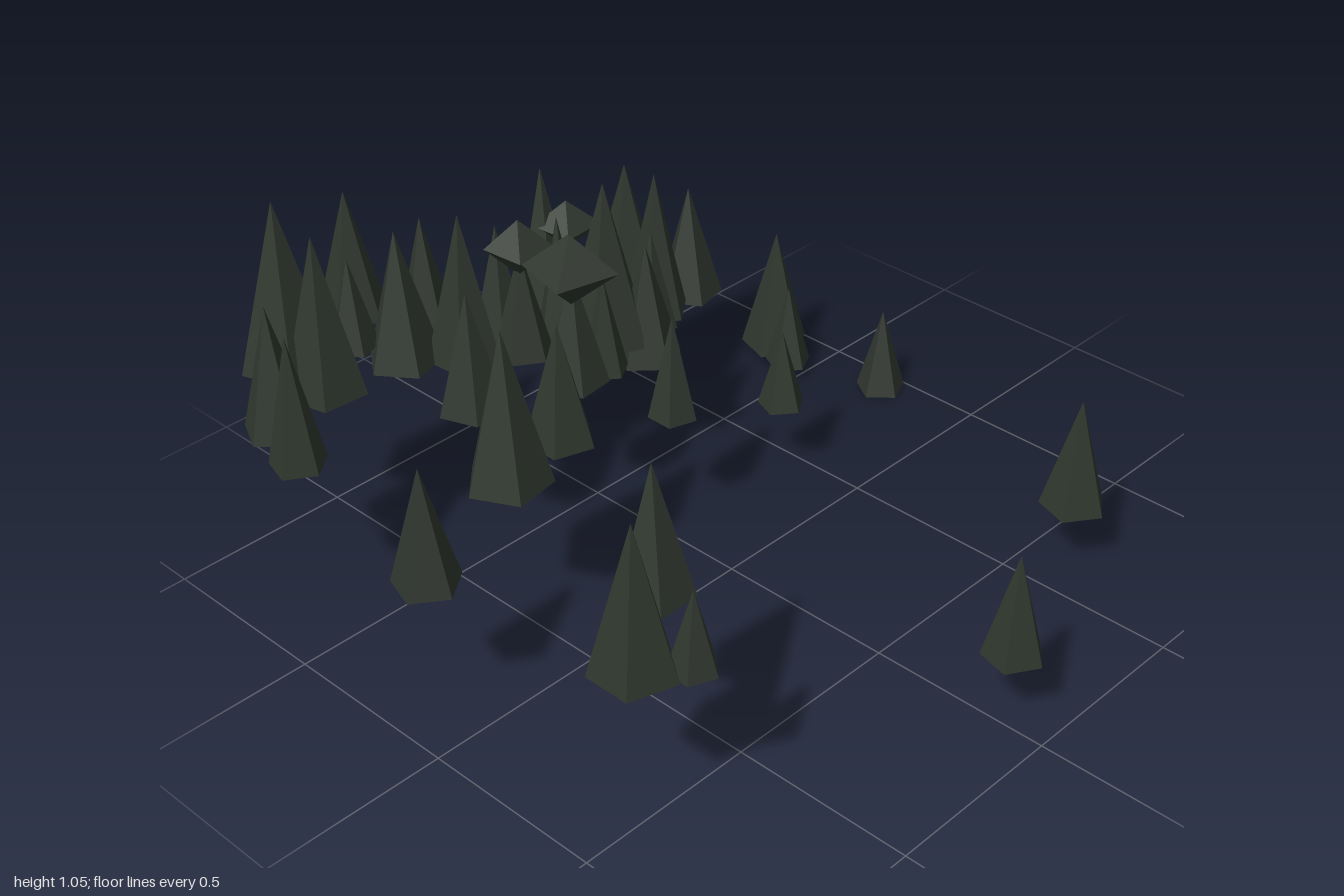
import * as THREE from 'three';

const foliage = new THREE.MeshStandardMaterial({ color: 0x2f372e, flatShading: true });
foliage.name = 'darkPine';

// Five-sided conifer: centre x, z, base height, tip height, radius, turn in degrees
function conifer([x, z, base, tip, radius, turn]) {
  const geo = new THREE.ConeGeometry(radius, tip - base, 5);
  const tree = new THREE.Mesh(geo, foliage);
  tree.name = 'conifer';
  tree.position.set(x, (base + tip) / 2, z);
  tree.rotation.y = THREE.MathUtils.degToRad(turn);
  return tree;
}

// Diamond-shaped crown: centre x, y, z, radius, half height, turn in degrees
function diamondCrown([x, y, z, radius, half, turn]) {
  const crown = new THREE.Mesh(new THREE.OctahedronGeometry(1), foliage);
  crown.name = 'diamondCrown';
  crown.scale.set(radius, half, radius);
  crown.position.set(x, y, z);
  crown.rotation.y = THREE.MathUtils.degToRad(turn);
  return crown;
}

// Trees at the foot of the slope
const backGrove = [
  [-0.64, -0.87, 0.035, 0.4, 0.1, 18],
  [-0.54, -0.815, 0.035, 0.28, 0.067, 10],
  [-0.285, -0.935, 0, 0.255, 0.072, 5],
  [-0.81, -0.68, 0.22, 0.56, 0.095, 67],
  [-0.81, -0.43, 0.355, 0.73, 0.105, 25],
  [-0.69, -0.425, 0.32, 0.745, 0.095, 20],
  [-0.63, -0.35, 0.325, 0.62, 0.07, 50],
  [-0.79, -0.35, 0.35, 0.6, 0.06, 0],
  [-0.21, -0.42, 0.22, 0.45, 0.065, 15],
];

// Trees halfway up
const middleGrove = [
  [-0.5, -0.2, 0.35, 0.69, 0.095, 10],
  [-0.58, -0.13, 0.41, 0.87, 0.125, 30],
  [-0.74, -0.06, 0.47, 0.885, 0.09, 60],
  [-0.63, -0.01, 0.42, 0.8, 0.075, 0],
  [-0.475, -0.02, 0.4, 0.68, 0.065, 15],
  [-0.24, -0.035, 0.355, 0.65, 0.067, 36],
  [-0.71, 0.13, 0.47, 0.8, 0.08, 54],
  [-0.62, 0.13, 0.46, 0.77, 0.08, 20],
  [-0.44, 0.12, 0.445, 0.78, 0.09, 60],
  [-0.69, -0.1, 0.44, 0.72, 0.07, 40],
];

// Tall trees on the crest
const frontGrove = [
  [-0.71, 0.37, 0.57, 0.92, 0.085, 10],
  [-0.6, 0.34, 0.55, 0.955, 0.1, 40],
  [-0.7, 0.46, 0.55, 0.92, 0.1, 0],
  [-0.48, 0.43, 0.49, 0.82, 0.09, 56],
  [-0.24, 0.355, 0.47, 0.8, 0.092, 36],
  [-0.875, 0.47, 0.625, 0.97, 0.092, 25],
  [-0.78, 0.55, 0.6, 0.85, 0.065, 0],
  [-0.28, 0.53, 0.47, 0.73, 0.067, 54],
  [-0.2, 0.565, 0.47, 0.895, 0.112, 63],
  [-0.835, 0.71, 0.6, 1.05, 0.125, 56],
  [-0.735, 0.68, 0.55, 0.98, 0.108, 50],
  [-0.74, 0.83, 0.5, 0.85, 0.09, 10],
  [-0.635, 0.855, 0.46, 0.82, 0.075, 20],
  [-0.1, 0.91, 0.41, 0.73, 0.087, 18],
];

// Scattered trees on the open side
const openGrove = [
  [0.385, 0.66, 0.5, 0.85, 0.098, 54],
  [0.51, 0.845, 0.46, 0.85, 0.108, 36],
  [0.59, 0.745, 0.45, 0.665, 0.062, 30],
  [0.61, -0.635, 0.175, 0.49, 0.09, 18],
  [0.875, -0.035, 0.185, 0.475, 0.08, 22],
];

const crowns = [
  [-0.425, 0.785, 0.135, 0.125, 0.1, 32],
  [-0.62, 0.77, 0.13, 0.09, 0.08, 50],
  [-0.69, 0.72, -0.1, 0.09, 0.07, 50],
];

export function createModel() {
  const model = new THREE.Group();
  model.name = 'hillsideForest';
  const groves = { backGrove, middleGrove, frontGrove, openGrove };
  for (const [name, trees] of Object.entries(groves)) {
    const grove = new THREE.Group();
    grove.name = name;
    trees.forEach((t) => grove.add(conifer(t)));
    model.add(grove);
  }
  const crownGroup = new THREE.Group();
  crownGroup.name = 'diamondCrowns';
  crowns.forEach((c) => crownGroup.add(diamondCrown(c)));
  model.add(crownGroup);
  return model;
}
